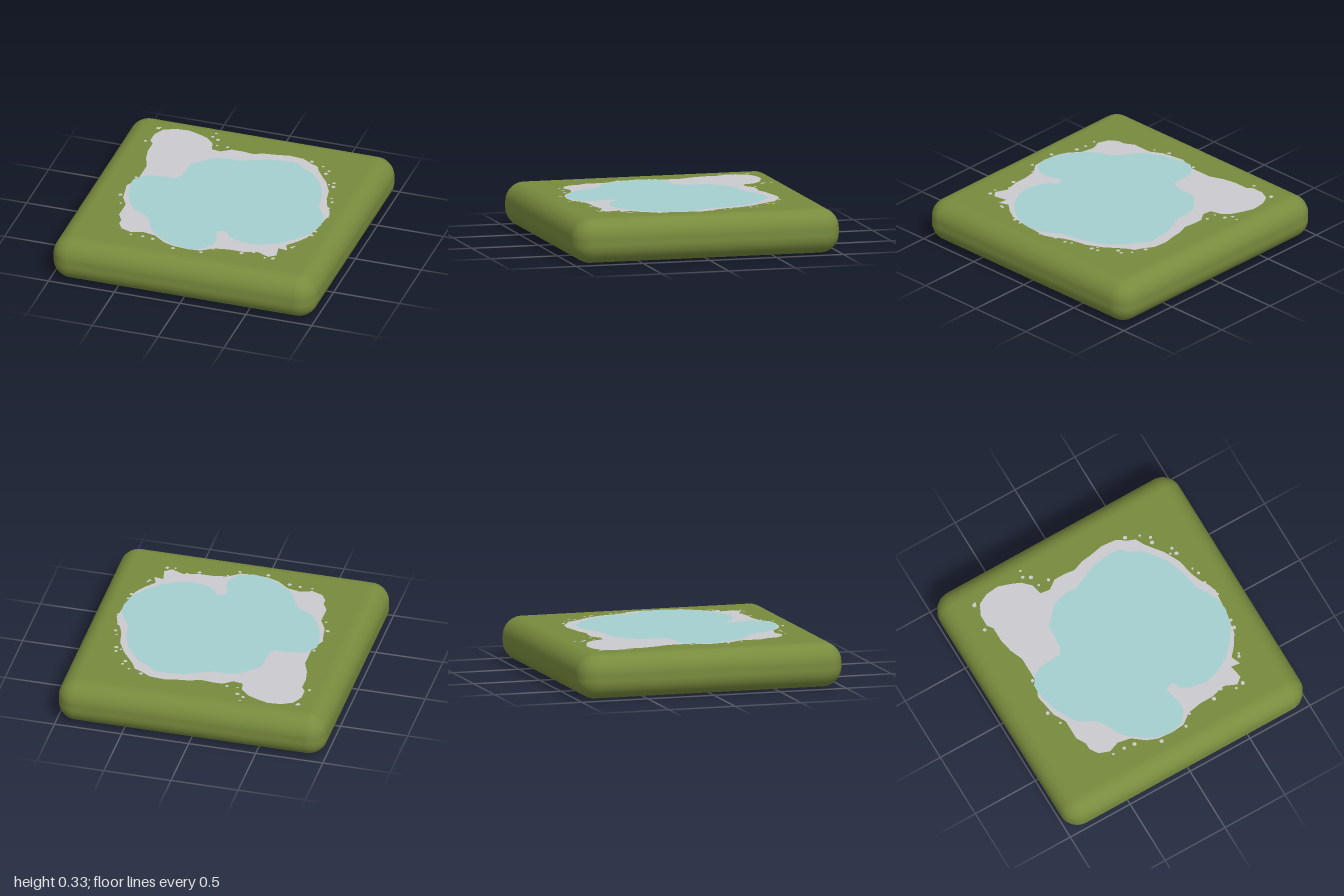
import * as THREE from 'three';
import { RoundedBoxGeometry } from 'three/addons/geometries/RoundedBoxGeometry.js';

const HEIGHT = 0.325;

// Outlines seen from above, as x, z pairs in hundredths of a unit
const SAND = [
  -76, -60, -76, -69, -72, -77, -64, -81, -54, -82, -45, -79, -38, -76, -32, -70, -30, -62, -23, -61,
  -16, -66, -8, -66, 0, -65, 8, -68, 16, -69, 26, -71, 37, -70, 45, -65, 50, -63, 53, -57,
  59, -49, 63, -44, 66, -38, 69, -32, 71, -21, 74, -13, 78, -6, 80, 0, 79, 8, 78, 20,
  75, 35, 70, 43, 64, 50, 67, 57, 60, 56, 62, 66, 57, 70, 48, 66, 37, 69, 27, 69,
  16, 71, 8, 77, -2, 78, -13, 77, -21, 74, -30, 67, -40, 65, -48, 68, -56, 65, -60, 59,
  -60, 54, -64, 47, -64, 32, -69, 23, -71, 11, -72, 6, -67, -5, -67, -13, -67, -25, -71, -35,
  -73, -45, -73, -56,
];
const WATER = [
  -70, -3, -65, -10, -59, -13, -50, -14, -42, -14, -39, -19, -38, -29, -38, -37, -32, -43, -25, -50,
  -18, -52, -11, -53, -7, -52, 0, -55, 14, -61, 30, -63, 36, -62, 41, -57, 49, -53, 56, -45,
  62, -36, 66, -25, 68, -16, 69, -9, 75, 0, 78, 7, 79, 16, 75, 30, 68, 40, 59, 49,
  48, 55, 38, 57, 27, 55, 20, 51, 18, 46, 14, 46, 11, 48, 12, 54, 14, 59, 14, 67,
  8, 75, -2, 78, -13, 76, -21, 72, -32, 64, -37, 57, -41, 48, -45, 43, -56, 37, -61, 30,
  -66, 20, -69, 8, -70, 2,
];
const SPECKS = [
  -34, -84, -35, -79, -30, -76, -28, -68, -20, -68, 44, -68, 54, -64, 60, -59, 59, -55, 66, -41,
  69, -44, 70, -39, 74, -23, 76, -18, 76, -9, 80, 3, 78, 25, 77, 31, 70, 50, 69, 52,
  61, 71, 55, 72, 45, 67, 37, 71, 16, 72, 9, 79, -12, 80, -47, 71, -38, 71, -30, 72,
  -75, -79, -79, -58, -72, 20, -68, 31, -69, -7, -76, -78,
];

const pairs = (list) => {
  const points = [];
  for (let i = 0; i < list.length; i += 2) {
    points.push(new THREE.Vector2(list[i] / 100, -list[i + 1] / 100));
  }
  return points;
};

// Flat patch lying face up on the slab
function patch(name, geometry, material, lift) {
  geometry.rotateX(-Math.PI / 2);
  const mesh = new THREE.Mesh(geometry, material);
  mesh.name = name;
  mesh.position.y = HEIGHT + lift;
  return mesh;
}

export function createModel() {
  const mat = (name, color) => {
    const m = new THREE.MeshStandardMaterial({ color });
    m.name = name;
    return m;
  };
  const grass = mat('grass green', 0x788b3d);
  const sand = mat('pale sand', 0xcbcace);
  const water = mat('pond blue', 0xa4cfcf);

  const model = new THREE.Group();
  model.name = 'pondTile';

  // Grassy slab with rounded edges
  const slab = new THREE.Mesh(new RoundedBoxGeometry(2, HEIGHT, 2, 8, 0.14), grass);
  slab.name = 'grassSlab';
  slab.position.y = HEIGHT / 2;
  model.add(slab);

  // Sandy bank and the water on it
  const sheet = (list) => new THREE.ShapeGeometry(new THREE.Shape(pairs(list)));
  model.add(patch('sandBank', sheet(SAND), sand, 0.002));
  model.add(patch('pondWater', sheet(WATER), water, 0.004));

  // Loose grains scattered around the bank
  const grains = new THREE.Group();
  grains.name = 'sandSpecks';
  pairs(SPECKS).forEach((p, i) => {
    const grain = patch('sandSpeck', new THREE.CircleGeometry(0.01 + 0.003 * (i % 3), 6), sand, 0.002);
    grain.position.x = p.x;
    grain.position.z = -p.y;
    grains.add(grain);
  });
  model.add(grains);

  return model;
}
